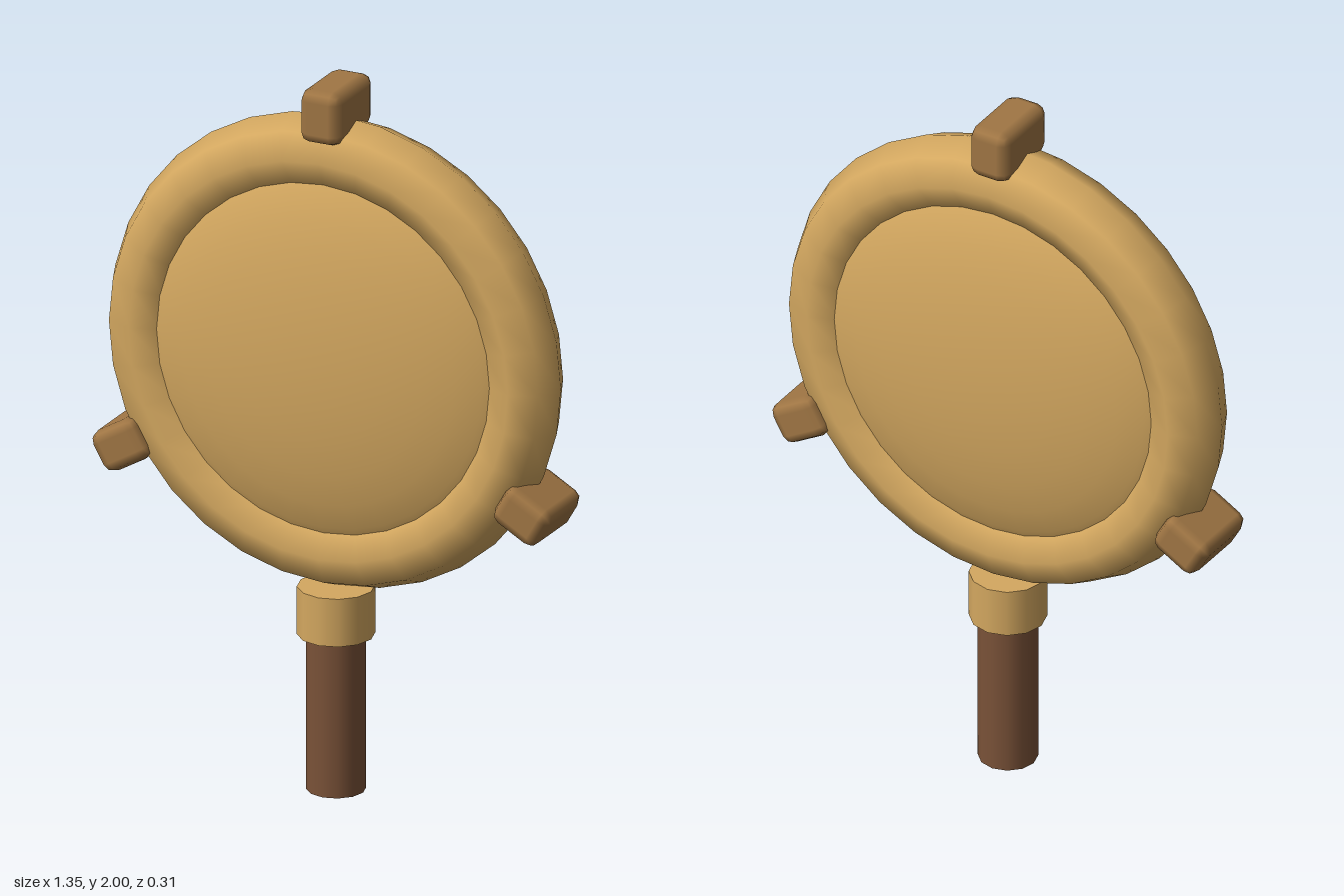
import * as THREE from 'three';
import { RoundedBoxGeometry } from 'three/addons/geometries/RoundedBoxGeometry.js';

export function createModel() {
  const model = new THREE.Group();
  model.name = 'roundHeadOnHandle';

  const material = (name, color) => {
    const m = new THREE.MeshStandardMaterial({ color });
    m.name = name;
    return m;
  };
  const gold = material('gold', 0xd4a860);
  const bronze = material('bronze', 0xa07644);
  const wood = material('wood', 0x7a5238);

  const add = (name, geometry, mat, x, y, z = 0) => {
    const mesh = new THREE.Mesh(geometry, mat);
    mesh.name = name;
    mesh.position.set(x, y, z);
    model.add(mesh);
    return mesh;
  };

  const centreY = 1.24;

  // Handle and collar
  add('handle', new THREE.CylinderGeometry(0.08, 0.08, 0.46, 12), wood, 0, 0.23);
  add('collar', new THREE.CylinderGeometry(0.104, 0.104, 0.135, 12), gold, 0, 0.505);

  // Ring around a lens that bulges to the front and back
  add('ring', new THREE.TorusGeometry(0.56, 0.105, 8, 32), gold, 0, centreY);
  const lens = new THREE.SphereGeometry(1, 32, 16);
  lens.rotateX(Math.PI / 2);
  lens.scale(0.57, 0.57, 0.155);
  add('lens', lens, gold, 0, centreY);

  // Three bevelled clasps spaced evenly on the ring
  const clasp = new RoundedBoxGeometry(0.12, 0.15, 0.22, 1, 0.03);
  ['topClasp', 'leftClasp', 'rightClasp'].forEach((name, i) => {
    const a = (i * Math.PI * 2) / 3;
    const r = 0.685;
    add(name, clasp, bronze, Math.sin(a) * r, centreY + Math.cos(a) * r).rotation.z = -a;
  });

  return model;
}
